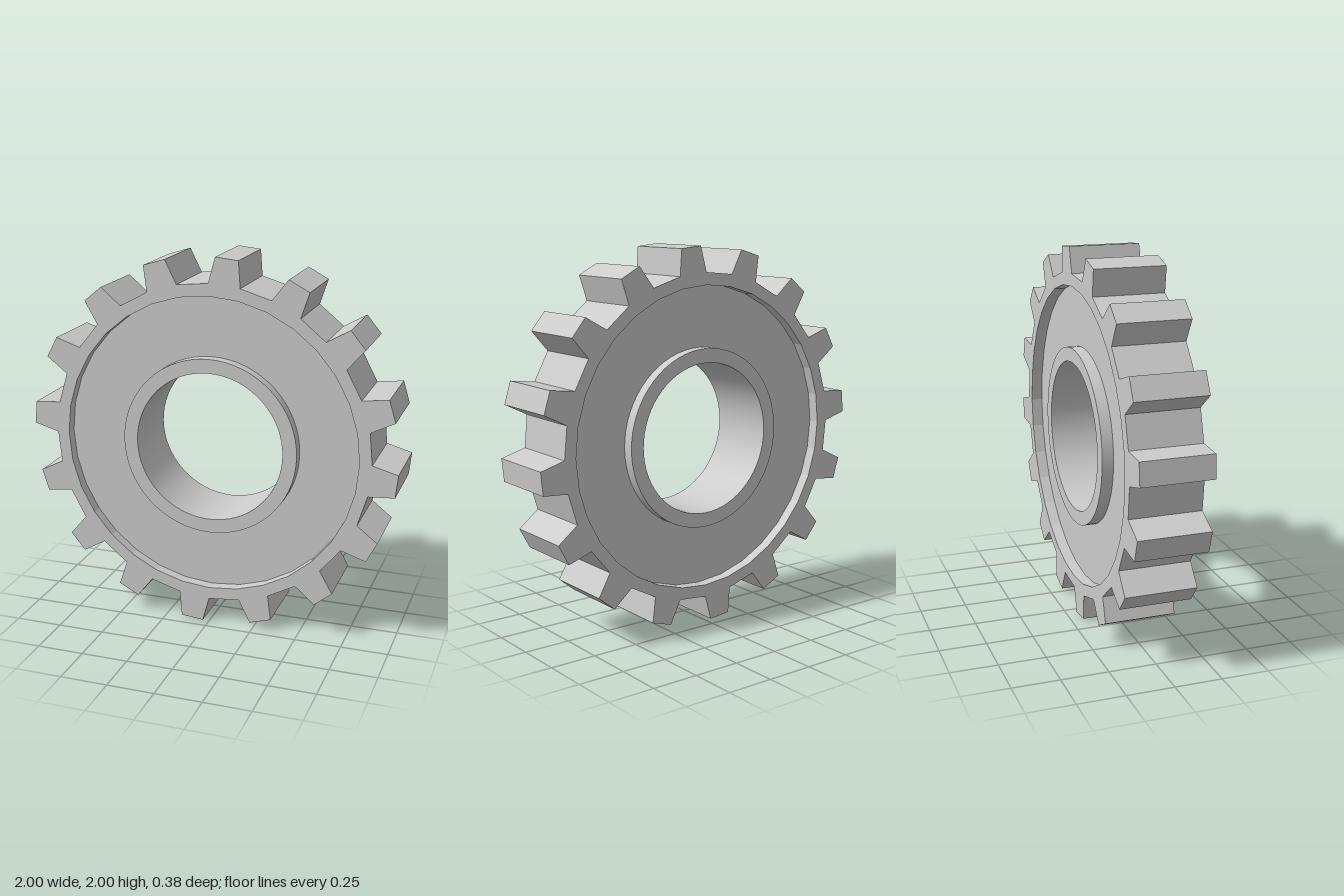
import * as THREE from 'three';
import { toCreasedNormals } from 'three/addons/utils/BufferGeometryUtils.js';

const TEETH = 16, HALF_WIDTH = 0.19, RECESS = 0.06;
const TIP_R = 1.0, ROOT_R = 0.865, RIM_R = 0.8, HUB_R = 0.475, BORE_R = 0.4;
const deg = THREE.MathUtils.degToRad;
const material = new THREE.MeshStandardMaterial({ color: 0xcccccc });

const polar = (r, a) => new THREE.Vector2(r * Math.cos(a), r * Math.sin(a));
const ringPoints = (r, n) => Array.from({ length: n }, (_, i) => polar(r, (i / n) * Math.PI * 2));

function addPart(group, name, geometry) {
  const mesh = new THREE.Mesh(geometry, material);
  mesh.name = name;
  group.add(mesh);
}

// Plate centred on z = 0 with one hole
function plate(outline, hole, halfDepth) {
  const shape = new THREE.Shape(outline);
  shape.holes.push(new THREE.Path(hole));
  const geometry = new THREE.ExtrudeGeometry(shape, { depth: halfDepth * 2, bevelEnabled: false });
  return geometry.translate(0, 0, -halfDepth);
}

export function createModel() {
  const gear = new THREE.Group();
  gear.name = 'gear';

  // Toothed rim: tapered teeth, set a quarter pitch off the vertical
  const outline = [];
  for (let i = 0; i < TEETH; i++) {
    const a = deg(84.375 + (i * 360) / TEETH);
    outline.push(
      polar(ROOT_R, a - deg(5.625)), polar(TIP_R, a - deg(3.5)),
      polar(TIP_R, a + deg(3.5)), polar(ROOT_R, a + deg(5.625)));
  }
  addPart(gear, 'toothedRim', plate(outline, ringPoints(RIM_R, 32), HALF_WIDTH));

  // Web: recessed on both faces
  addPart(gear, 'web', plate(ringPoints(RIM_R, 32), ringPoints(HUB_R, 64), HALF_WIDTH - RECESS));

  // Hub: smooth sleeve around the bore, flush with the rim
  const profile = [
    [BORE_R, -HALF_WIDTH], [HUB_R, -HALF_WIDTH], [HUB_R, HALF_WIDTH],
    [BORE_R, HALF_WIDTH], [BORE_R, -HALF_WIDTH],
  ].map(([r, y]) => new THREE.Vector2(r, y));
  const hub = toCreasedNormals(new THREE.LatheGeometry(profile, 64), deg(35));
  addPart(gear, 'hub', hub.rotateX(Math.PI / 2));

  gear.position.y = 1;
  return gear;
}
